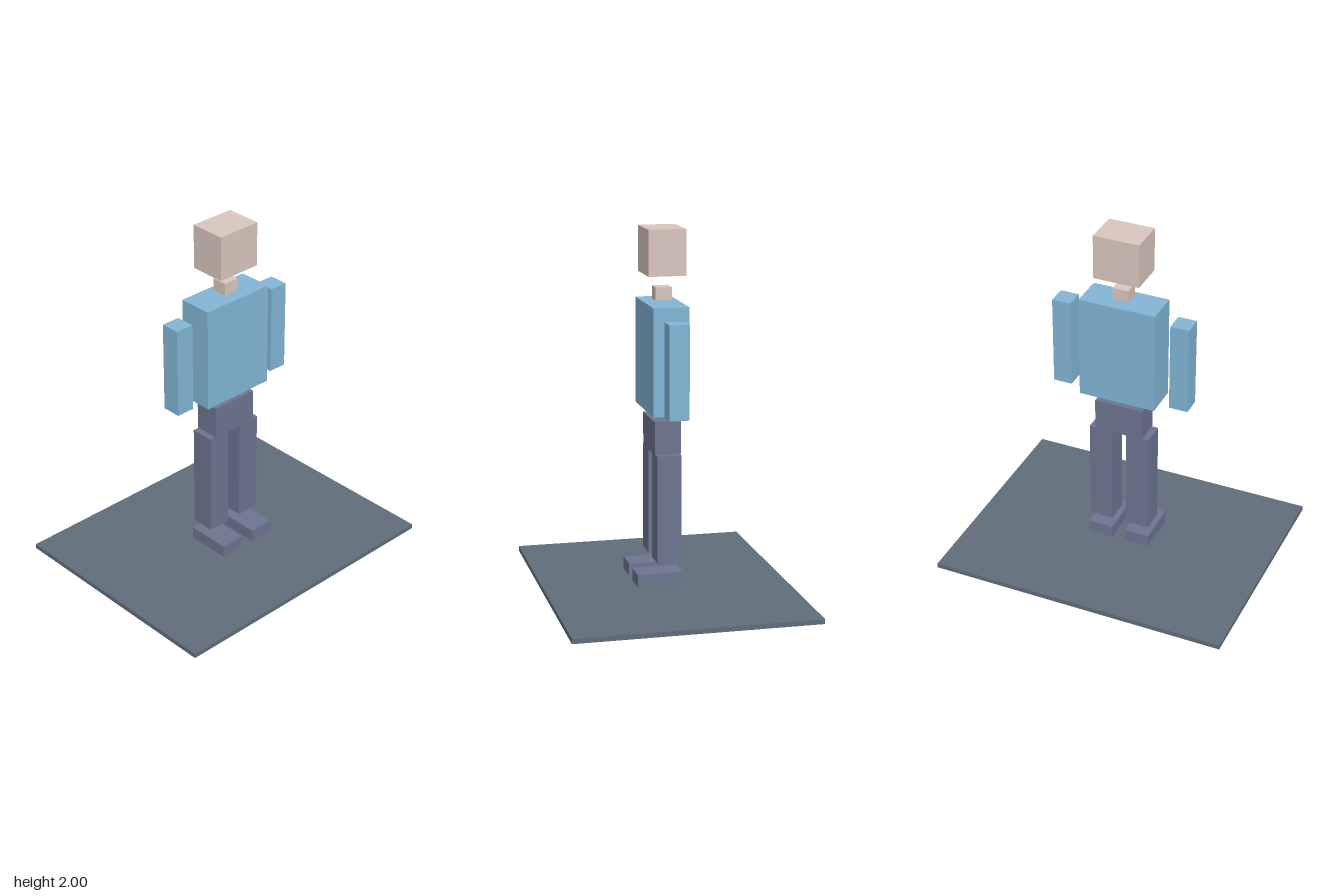
import * as THREE from 'three';

const material = (color) => new THREE.MeshStandardMaterial({ color, flatShading: true });

export function createModel() {
  const model = new THREE.Group();
  model.name = 'blockFigure';

  const skin = material(0xd8c7bd);
  const shirt = material(0x82b6d6);
  const trousers = material(0x6c758f);
  const slate = material(0x616d7b);

  // Box of a given size, centred on x and z, with its underside at the given height
  function block(name, mat, [w, h, d], bottom, x = 0, z = 0) {
    const mesh = new THREE.Mesh(new THREE.BoxGeometry(w, h, d), mat);
    mesh.name = name;
    mesh.position.set(x, bottom + h / 2, z);
    model.add(mesh);
  }

  // Ground plate
  block('base', slate, [1.706, 0.027, 1.342], 0);

  // Head, neck and trunk, floating apart
  block('head', skin, [0.26, 0.25, 0.206], 1.75);
  block('neck', skin, [0.09, 0.07, 0.09], 1.61);
  block('torso', shirt, [0.44, 0.59, 0.196], 1.005);
  block('pelvis', trousers, [0.28, 0.183, 0.146], 0.78);

  // Mirrored limbs; the feet reach forward
  for (const [side, s] of [['left', 1], ['right', -1]]) {
    block(side + 'Arm', shirt, [0.107, 0.51, 0.11], 1.02, s * 0.343);
    block(side + 'Leg', trousers, [0.134, 0.6, 0.134], 0.18, s * 0.11);
    block(side + 'Foot', trousers, [0.143, 0.071, 0.254], 0.053, s * 0.111, 0.051);
  }

  return model;
}
